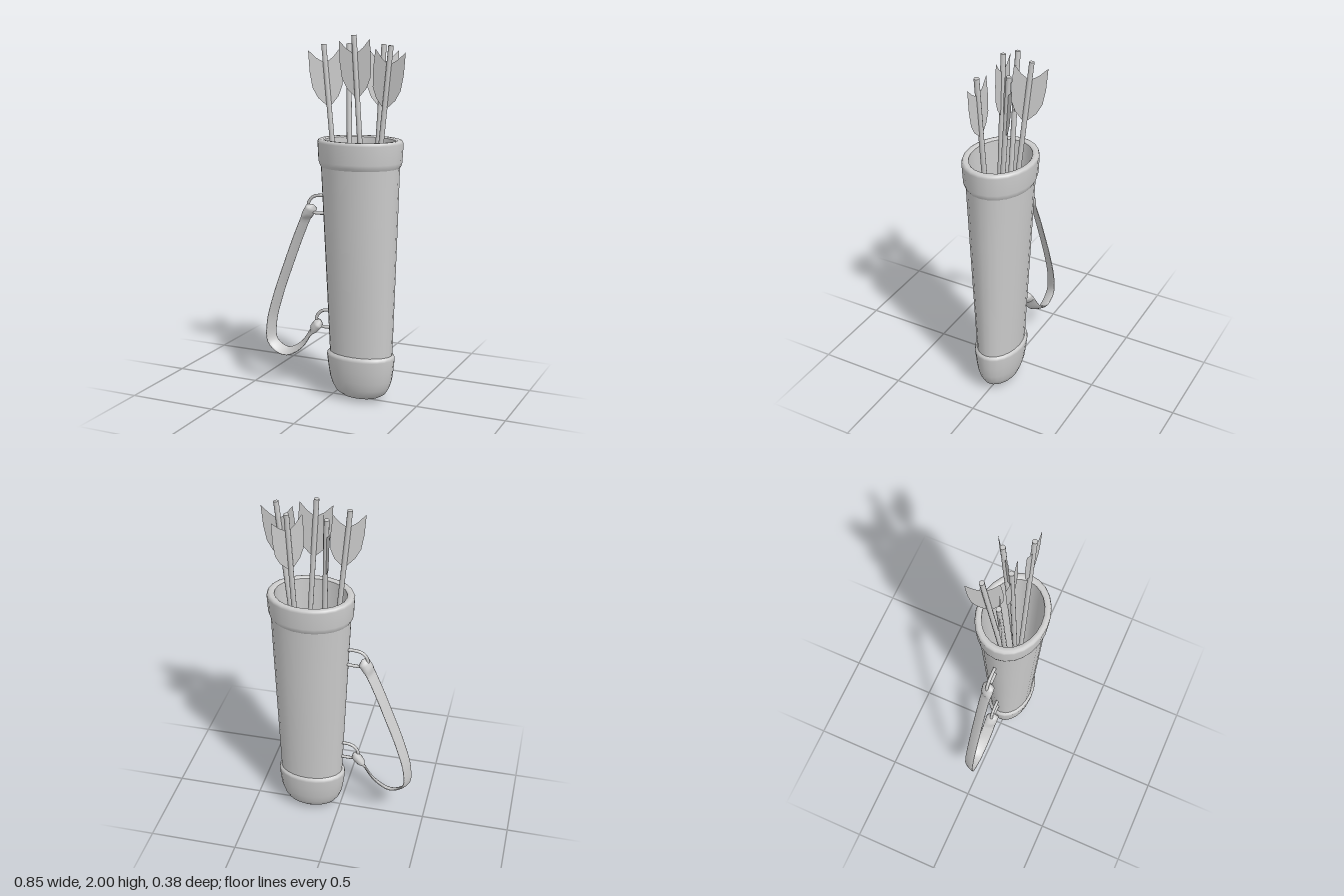
import * as THREE from 'three';

const V = (x, y, z) => new THREE.Vector3(x, y, z);
const grey = new THREE.MeshStandardMaterial({ color: 0xcccccc });
const greyDouble = new THREE.MeshStandardMaterial({ color: 0xcccccc, side: THREE.DoubleSide });

function part(name, geometry, material = grey) {
  const mesh = new THREE.Mesh(geometry, material);
  mesh.name = name;
  return mesh;
}

// Skin a list of closed rings (arrays of Vector3 of equal length)
function skin(rings) {
  const n = rings[0].length, index = [];
  for (let r = 0; r < rings.length - 1; r++) {
    for (let i = 0; i < n; i++) {
      const a = r * n + i, b = r * n + (i + 1) % n;
      index.push(a, a + n, b, b, a + n, b + n);
    }
  }
  const g = new THREE.BufferGeometry().setFromPoints(rings.flat());
  g.setIndex(index);
  g.computeVertexNormals();
  return g;
}

// Stack of elliptical sections [y, centreX, radiusX, radiusZ]
function ovalStack(sections, n = 24) {
  return skin(sections.map(([y, cx, rx, rz]) => Array.from({ length: n }, (_, i) => {
    const a = i / n * Math.PI * 2;
    return V(cx + rx * Math.cos(a), y, rz * Math.sin(a));
  })));
}

// Shaft with flat vanes on opposite sides; dir is the vane direction seen from above
function makeArrow(top, slope, dir) {
  const arrow = new THREE.Group();
  arrow.name = 'arrow';
  const length = 1.22;
  const shaft = new THREE.CylinderGeometry(0.014, 0.014, length, 10).translate(0, -length / 2, 0);
  arrow.add(part('arrowShaft', shaft));
  for (const s of [1, -1]) {
    const vane = new THREE.Shape([[0.008, -0.095], [0.045, -0.07], [0.086, -0.025],
      [0.088, -0.14], [0.08, -0.225], [0.055, -0.28], [0.008, -0.33]]
      .map(([x, y]) => new THREE.Vector2(x * s, y)));
    arrow.add(part('arrowVane', new THREE.ShapeGeometry(vane), greyDouble));
  }
  // Align the shaft with its lean and the vanes with dir
  const up = V(-slope[0], 1, -slope[1]).normalize();
  const out = V(dir[0], 0, dir[1]);
  out.addScaledVector(up, -out.dot(up)).normalize();
  arrow.quaternion.setFromRotationMatrix(
    new THREE.Matrix4().makeBasis(out, up, out.clone().cross(up)));
  arrow.position.copy(top);
  return arrow;
}

// Flat strap, tilted about its path, with a thick collar at each end
function makeStrap() {
  const curve = new THREE.CatmullRomCurve3([
    [-0.125, 1.075, -0.01], [-0.165, 1.01, -0.012], [-0.215, 0.9, -0.016], [-0.28, 0.735, -0.02],
    [-0.355, 0.53, -0.024], [-0.4, 0.36, -0.027], [-0.395, 0.25, -0.028], [-0.31, 0.2, -0.026],
    [-0.21, 0.25, -0.02], [-0.14, 0.345, -0.014], [-0.08, 0.415, -0.01]].map(p => V(...p)));
  const steps = 72, n = 14, total = curve.getLength(), tilt = 0.5, rings = [];
  for (let k = 0; k <= steps; k++) {
    const u = k / steps, c = curve.getPointAt(u), t = curve.getTangentAt(u);
    const d = Math.min(u, 1 - u) * total;
    const collar = 1 - THREE.MathUtils.smoothstep(d, 0.065, 0.1);
    const end = k === 0 || k === steps ? 0 : 1;
    const half = THREE.MathUtils.lerp(0.036, 0.037, collar) * end;
    const thick = THREE.MathUtils.lerp(0.007, 0.026, collar) * end;
    const N = V(-t.y, t.x, 0).normalize(), Z = V(0, 0, 1);
    const W = Z.clone().multiplyScalar(Math.cos(tilt)).addScaledVector(N, -Math.sin(tilt));
    const H = N.clone().multiplyScalar(Math.cos(tilt)).addScaledVector(Z, Math.sin(tilt));
    rings.push(Array.from({ length: n }, (_, i) => {
      const a = i / n * Math.PI * 2;
      return c.clone().addScaledVector(W, half * Math.cos(a)).addScaledVector(H, thick * Math.sin(a));
    }));
  }
  return part('strap', skin(rings));
}

// Half ring whose two ends sink into the body
function makeRing(x, y) {
  const path = new THREE.CatmullRomCurve3([[0.08, 0.045], [0.03, 0.05], [-0.02, 0.04], [-0.05, 0.005],
    [-0.05, -0.025], [-0.02, -0.048], [0.03, -0.05], [0.08, -0.045]].map(([a, b]) => V(x + a, y + b, -0.012)));
  return part('strapRing', new THREE.TubeGeometry(path, 32, 0.009, 8));
}

export function createModel() {
  const model = new THREE.Group();
  model.name = 'quiver';

  // Tapered oval body
  model.add(part('body', ovalStack([
    [0.22, 0.169, 0.179, 0.117], [0.6, 0.166, 0.193, 0.136],
    [1.0, 0.162, 0.208, 0.156], [1.36, 0.158, 0.221, 0.174]])));

  // Rounded bottom cap
  model.add(part('bottomCap', ovalStack([
    [0, 0.17, 0, 0], [0.008, 0.17, 0.06, 0.035], [0.018, 0.17, 0.105, 0.068], [0.04, 0.17, 0.142, 0.09],
    [0.075, 0.169, 0.165, 0.104], [0.12, 0.169, 0.18, 0.117], [0.18, 0.168, 0.189, 0.126],
    [0.245, 0.167, 0.196, 0.133], [0.26, 0.167, 0.193, 0.131], [0.27, 0.167, 0.178, 0.118]])));

  // Raised rim band
  model.add(part('rim', ovalStack([
    [1.3, 0.158, 0.217, 0.17], [1.315, 0.158, 0.226, 0.179], [1.335, 0.158, 0.232, 0.185],
    [1.435, 0.158, 0.237, 0.191], [1.448, 0.158, 0.232, 0.187], [1.452, 0.158, 0.222, 0.178],
    [1.452, 0.158, 0.205, 0.163], [1.445, 0.158, 0.196, 0.156]])));

  // Inner wall and floor
  model.add(part('lining', ovalStack([
    [1.446, 0.158, 0.197, 0.157], [1.3, 0.158, 0.192, 0.151], [0.25, 0.167, 0.16, 0.105],
    [0.12, 0.169, 0.14, 0.09], [0.06, 0.17, 0.09, 0.055], [0.045, 0.17, 0, 0]])));

  // Strap and its two rings
  model.add(makeStrap(), makeRing(-0.105, 1.078), makeRing(-0.057, 0.43));

  // Arrows: top point, lean per unit of depth, vane direction
  const arrows = [
    [V(-0.05, 1.95, 0.012), [0.1, 0.008], [0.92, -0.38]],
    [V(0.04, 1.95, -0.115), [0.05, 0.095], [0.4, 0.92]],
    [V(0.12, 2.0, 0.002), [0.065, 0], [1, -0.08]],
    [V(0.25, 1.95, -0.1), [-0.025, 0.08], [0.76, -0.65]],
    [V(0.34, 1.95, 0.028), [-0.1, -0.004], [1, 0.04]]];
  for (const a of arrows) model.add(makeArrow(...a));

  return model;
}
